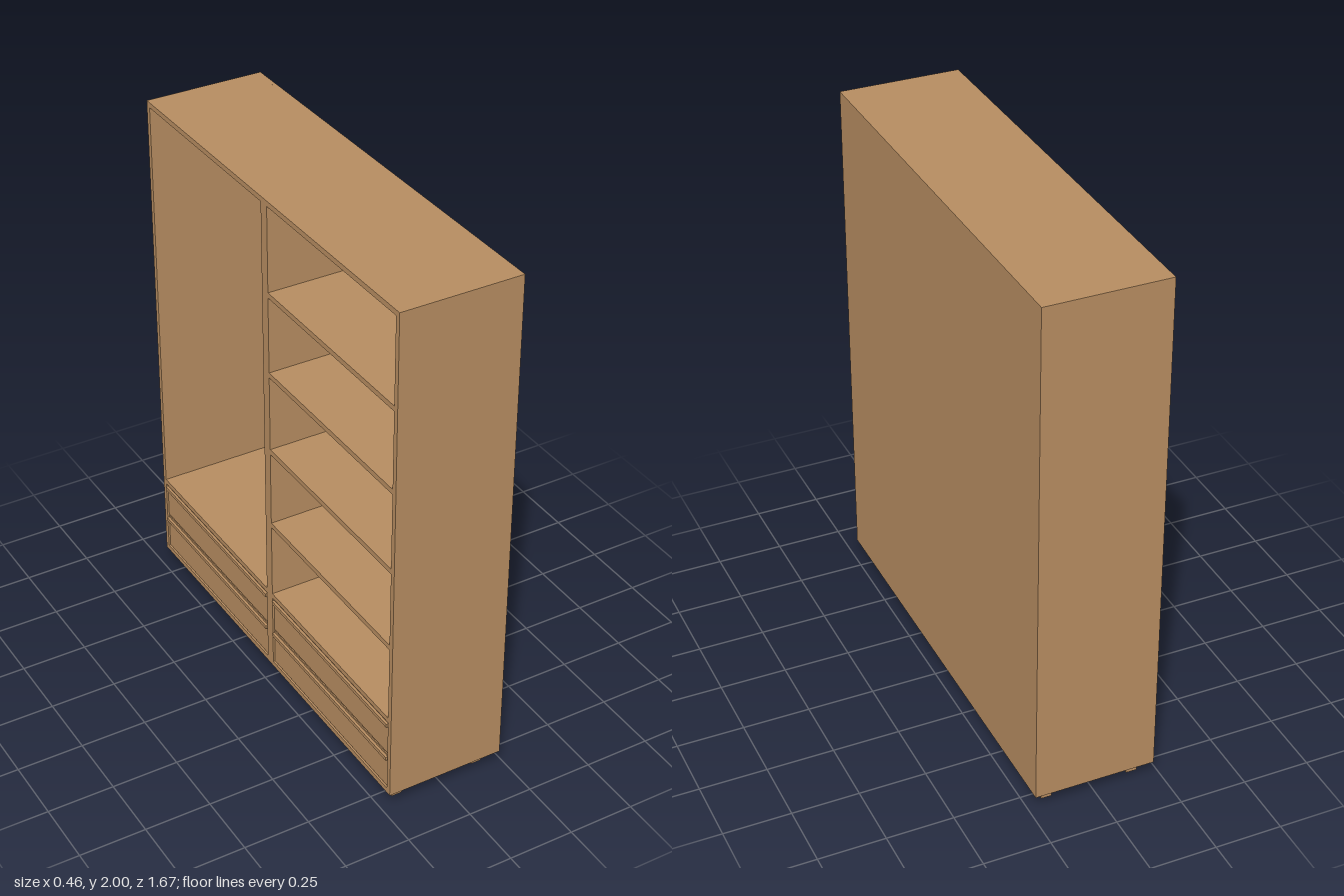
import * as THREE from 'three';

const T = 0.02;              // board thickness
const FRONT = -0.225;        // open side of the cabinet faces -x
const BACK = 0.23;
const HALF = 0.835;          // width of one cabinet along z
const BOTTOM = 0.06, TOP = 2;

export function createModel() {
  const group = new THREE.Group();
  group.name = 'wardrobe';
  const wood = new THREE.MeshStandardMaterial({ color: 0xb68c60 });
  wood.name = 'wood';

  // Box given by its lower and upper limits on each axis
  function board(parent, name, x0, x1, y0, y1, z0, z1) {
    const mesh = new THREE.Mesh(new THREE.BoxGeometry(x1 - x0, y1 - y0, z1 - z0), wood);
    mesh.position.set((x0 + x1) / 2, (y0 + y1) / 2, (z0 + z1) / 2);
    mesh.name = name;
    parent.add(mesh);
  }

  function cabinet(name, z0, shelfTops) {
    const unit = new THREE.Group();
    unit.name = name;
    group.add(unit);
    const z1 = z0 + HALF, a = z0 + T, b = z1 - T;
    const inner = BACK - 0.015;

    // Carcass
    board(unit, 'sidePanel', FRONT, inner, BOTTOM, TOP, z0, a);
    board(unit, 'sidePanel', FRONT, inner, BOTTOM, TOP, b, z1);
    board(unit, 'topPanel', FRONT, inner, TOP - T, TOP, a, b);
    board(unit, 'bottomPanel', FRONT, inner, BOTTOM, BOTTOM + T, a, b);
    board(unit, 'backPanel', inner, BACK, BOTTOM, TOP, z0, z1);

    // Shelves, the lowest one covering the drawers
    for (const y of shelfTops) board(unit, 'shelf', FRONT, inner, y - T, y, a, b);

    // Two drawers with a slim full-width pull
    for (const y of [0.084, 0.232]) {
      board(unit, 'drawerFront', FRONT + 0.005, FRONT + 0.023, y, y + 0.142, a + 0.004, b - 0.004);
      board(unit, 'drawerPull', -0.23, FRONT + 0.005, y + 0.12, y + 0.134, a + 0.004, b - 0.004);
    }

    // Short square legs
    for (const x of [-0.165, 0.165])
      for (const z of [z0 + 0.07, z1 - 0.07])
        board(unit, 'leg', x - 0.02, x + 0.02, 0, BOTTOM, z - 0.02, z + 0.02);
  }

  cabinet('hangingCabinet', -HALF, [0.395]);
  cabinet('shelfCabinet', 0, [0.395, 0.71, 1.025, 1.34, 1.655]);
  return group;
}
